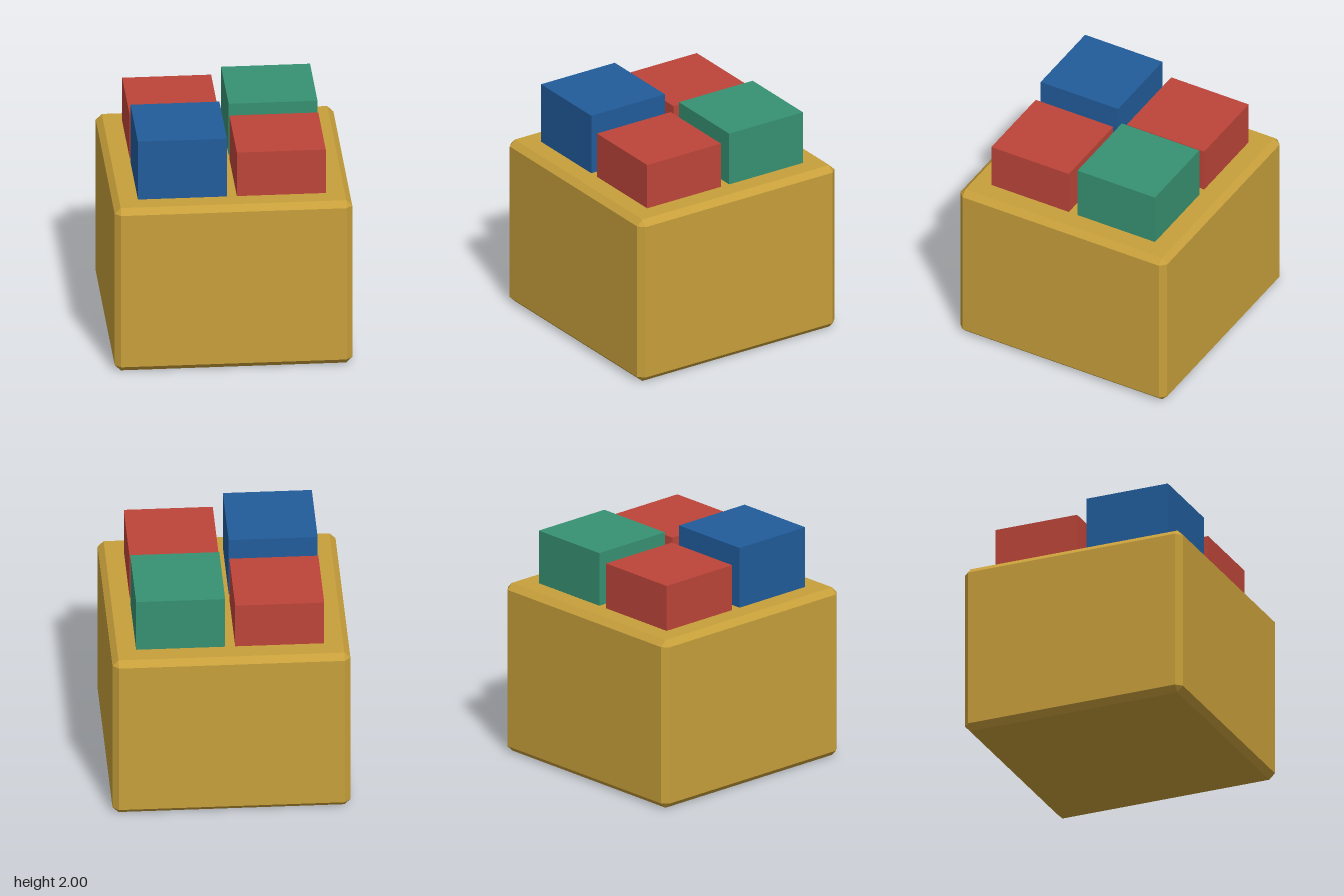
import * as THREE from 'three';
import { ConvexGeometry } from 'three/addons/geometries/ConvexGeometry.js';

const flat = (name, color) => {
  const m = new THREE.MeshStandardMaterial({ color });
  m.name = name;
  return m;
};

// Box with single flat chamfers on every edge and triangular corners
function chamferedBox(w, h, d, c) {
  const points = [];
  for (const sx of [-1, 1]) for (const sy of [-1, 1]) for (const sz of [-1, 1]) {
    const x = sx * w / 2, y = sy * h / 2, z = sz * d / 2;
    const cx = x - sx * c, cy = y - sy * c, cz = z - sz * c;
    points.push(
      new THREE.Vector3(x, cy, cz),
      new THREE.Vector3(cx, y, cz),
      new THREE.Vector3(cx, cy, z));
  }
  return new ConvexGeometry(points);
}

export function createModel() {
  const model = new THREE.Group();
  model.name = 'crateWithBlocks';

  const gold = flat('gold', 0xc8a03b);
  const red = flat('red', 0xbd4539);
  const blue = flat('blue', 0x215c9b);
  const green = flat('green', 0x379172);

  // Chamfered base
  const bodyTop = 1.475;
  const body = new THREE.Mesh(chamferedBox(1.97, bodyTop, 1.97, 0.05), gold);
  body.name = 'body';
  body.position.y = bodyTop / 2;
  model.add(body);

  // Four blocks standing on the base: name, x side, z side, top height, colour
  const size = 0.737, offset = 0.41;
  const blocks = [
    ['frontRightBlock', -1, 1, 2.0, blue],
    ['frontLeftBlock', 1, 1, 1.87, red],
    ['backRightBlock', -1, -1, 1.87, red],
    ['backLeftBlock', 1, -1, 1.938, green],
  ];
  for (const [name, sx, sz, top, material] of blocks) {
    const block = new THREE.Mesh(new THREE.BoxGeometry(size, top - bodyTop, size), material);
    block.name = name;
    block.position.set(sx * offset, (top + bodyTop) / 2, sz * offset);
    model.add(block);
  }
  return model;
}
